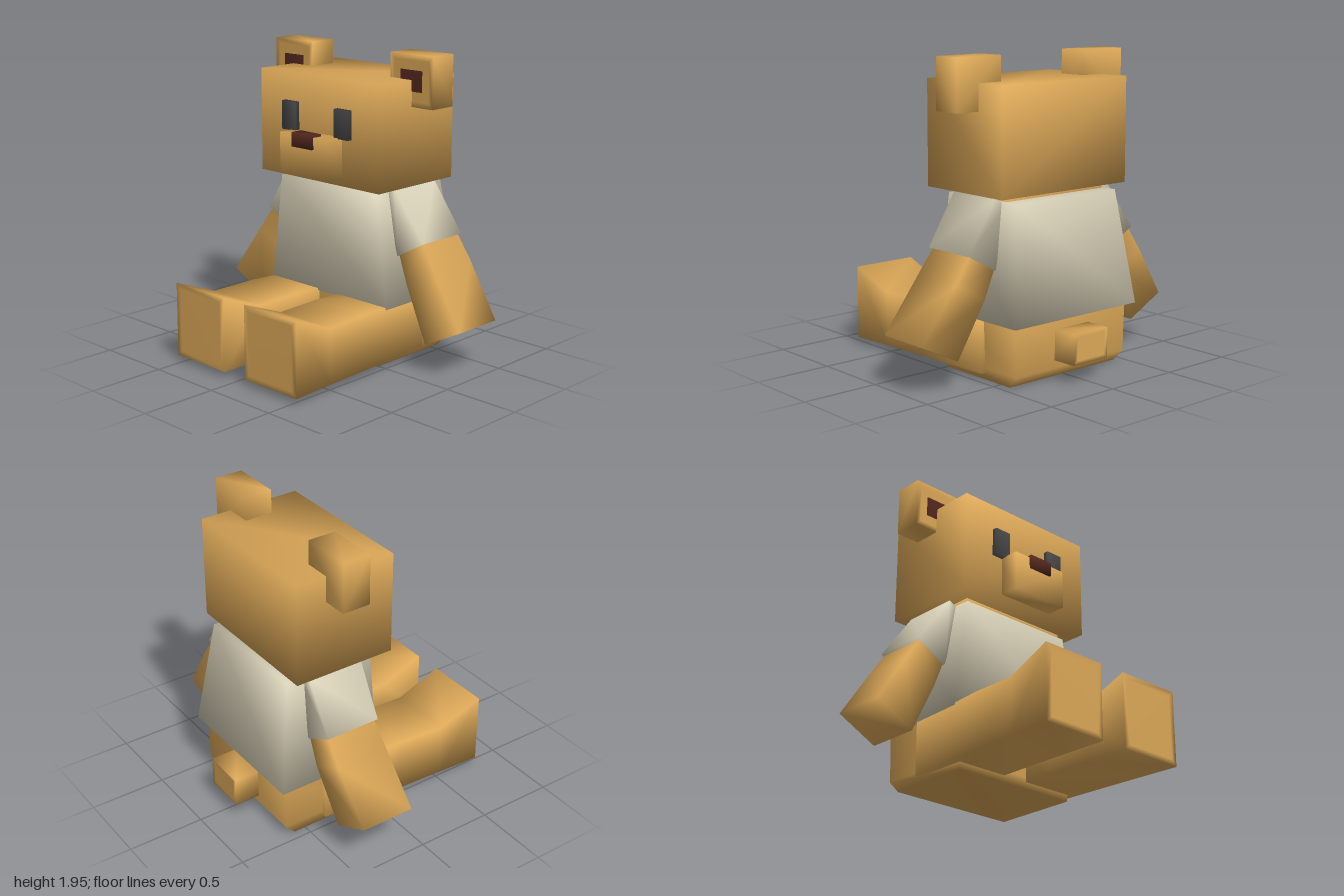
import * as THREE from 'three';

const mat = (name, color) => {
  const m = new THREE.MeshStandardMaterial({ color });
  m.name = name;
  return m;
};

// Closed skin over four-cornered cross-sections, with shared smooth normals
function loft(rings) {
  const p = rings.flat();
  const tris = [];
  const quad = (a, b, c, d) => tris.push([a, b, c], [a, c, d]);
  for (let r = 0; r < rings.length - 1; r++) {
    for (let i = 0; i < 4; i++) {
      const j = (i + 1) % 4, k = r * 4;
      quad(k + i, k + j, k + 4 + j, k + 4 + i);
    }
  }
  const e = (rings.length - 1) * 4;
  quad(3, 2, 1, 0);
  quad(e, e + 1, e + 2, e + 3);
  // Turn the skin outwards if its volume comes out negative
  const v = p.map(q => new THREE.Vector3(...q));
  const volume = tris.reduce((s, [a, b, c]) => s + v[a].dot(v[b].clone().cross(v[c])), 0);
  const index = tris.flatMap(t => (volume < 0 ? [t[0], t[2], t[1]] : t));
  const g = new THREE.BufferGeometry();
  g.setAttribute('position', new THREE.Float32BufferAttribute(p.flat(), 3));
  g.setIndex(index);
  g.computeVertexNormals();
  return g;
}

// Cross-sections level with the ground, and facing forward
const level = (y, x, z0, z1) => [[-x, y, z0], [x, y, z0], [x, y, z1], [-x, y, z1]];
const facing = (z, x0, x1, y0, y1) => [[x0, y0, z], [x1, y0, z], [x1, y1, z], [x0, y1, z]];
const block = (x0, x1, y0, y1, z0, z1) => loft([facing(z0, x0, x1, y0, y1), facing(z1, x0, x1, y0, y1)]);

// Section of an arm between an outer and an inner point of its outline
const across = (s, [xo, yo], [xi, yi], z0, z1) =>
  [[s * xo, yo, z0], [s * xo, yo, z1], [s * xi, yi, z1], [s * xi, yi, z0]];

export function createModel() {
  const model = new THREE.Group();
  const fur = mat('tan fur', 0xdca858);
  const cloth = mat('cream cloth', 0xd9d1b8);
  const black = mat('charcoal', 0x484848);
  const brown = mat('dark brown', 0x55281f);
  const add = (name, geometry, material) => {
    const m = new THREE.Mesh(geometry, material);
    m.name = name;
    model.add(m);
  };

  // Head and face
  add('head', block(-0.51, 0.51, 1.14, 1.8, -0.59, 0.09), fur);
  add('muzzle', block(-0.205, 0.205, 1.19, 1.445, 0.07, 0.22), fur);
  add('nose', block(-0.087, 0.087, 1.37, 1.46, 0.155, 0.235), brown);

  // Body, shirt and tail
  add('body', loft([
    level(0.005, 0.44, -0.58, -0.005),
    level(0.08, 0.45, -0.65, -0.005),
    level(0.39, 0.46, -0.65, -0.01),
    level(1.1, 0.395, -0.5, -0.02),
    level(1.15, 0.395, -0.5, -0.02),
  ]), fur);
  add('shirt', loft([level(0.39, 0.505, -0.7, 0.005), level(1.105, 0.415, -0.597, 0.005)]), cloth);
  add('tail', loft([
    facing(-0.63, -0.14, 0.14, 0.13, 0.32),
    facing(-0.815, -0.14, 0.14, 0.13, 0.32),
    facing(-0.815, -0.11, 0.11, 0.155, 0.295),
  ]), fur);

  for (const s of [1, -1]) {
    const side = s > 0 ? 'left' : 'right';

    // Ear with its inner patch
    add(side + 'Ear', loft([
      facing(-0.385, s * 0.335, s * 0.675, 1.635, 1.955),
      facing(-0.2, s * 0.335, s * 0.675, 1.635, 1.955),
      facing(-0.2, s * 0.37, s * 0.64, 1.67, 1.92),
    ]), fur);
    add(side + 'InnerEar', block(s * 0.42, s * 0.59, 1.73, 1.86, -0.202, -0.195), brown);
    add(side + 'Eye', block(s * 0.167, s * 0.285, 1.44, 1.622, 0.085, 0.125), black);

    // Sleeve and arm
    add(side + 'Sleeve', loft([
      across(s, [0.465, 1.13], [0.38, 1.085], -0.48, -0.105),
      across(s, [0.682, 0.82], [0.472, 0.703], -0.49, -0.13),
    ]), cloth);
    add(side + 'Arm', loft([
      across(s, [0.58, 0.94], [0.42, 0.83], -0.465, -0.145),
      across(s, [0.66, 0.82], [0.475, 0.71], -0.48, -0.145),
      across(s, [0.77, 0.66], [0.55, 0.54], -0.483, -0.13),
      across(s, [0.997, 0.33], [0.733, 0.195], -0.455, -0.1),
    ]), fur);

    // Leg with an upturned foot and flat sole
    add(side + 'Leg', loft([
      facing(-0.37, s * 0.09, s * 0.48, 0.05, 0.39),
      facing(0.2, s * 0.09, s * 0.51, 0.05, 0.41),
      facing(0.51, s * 0.092, s * 0.522, 0.048, 0.403),
      facing(0.81, s * 0.092, s * 0.535, 0.045, 0.52),
      facing(0.812, s * 0.13, s * 0.497, 0.08, 0.485),
    ]), fur);
  }
  return model;
}
